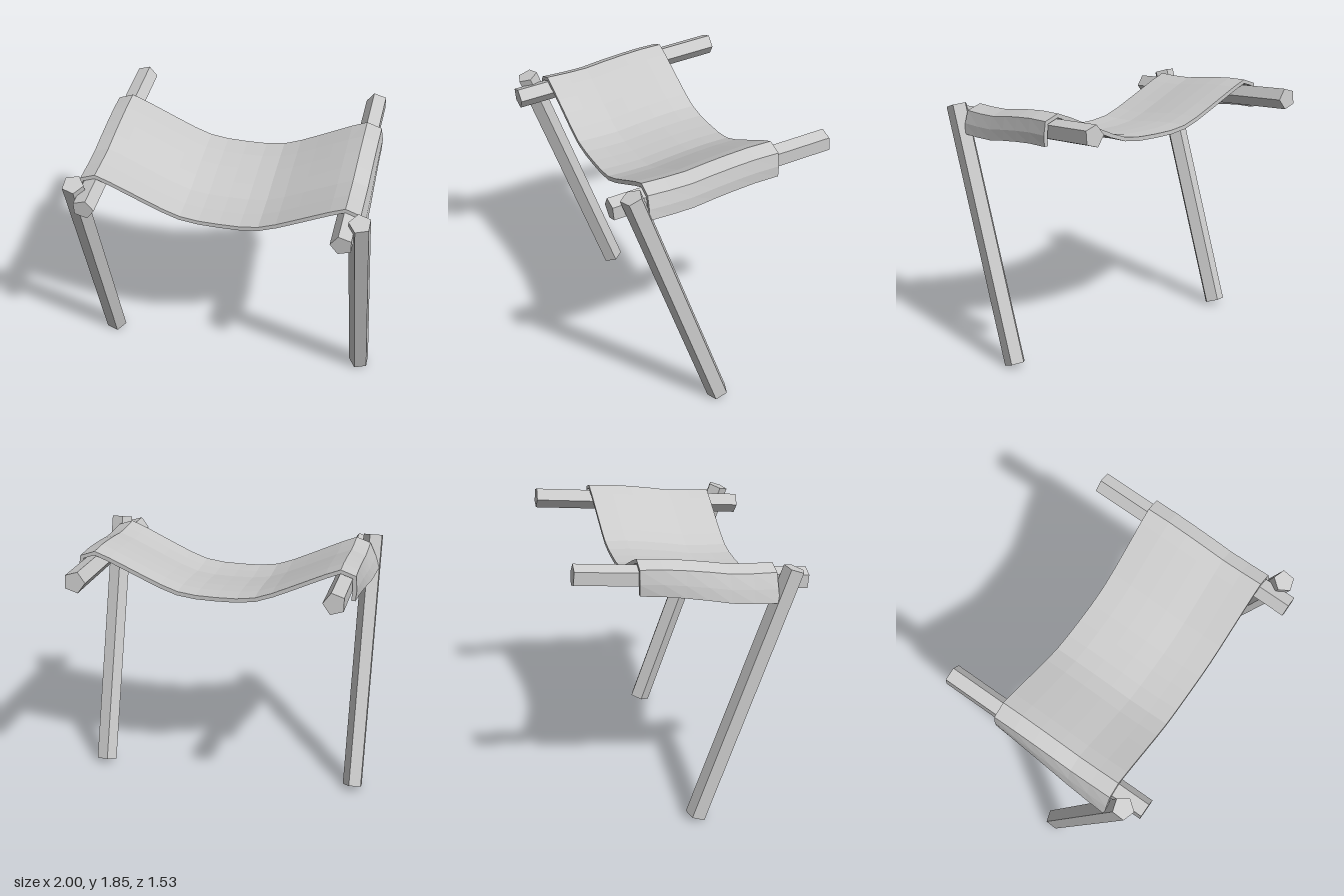
import * as THREE from 'three';

const R = 0.0746;          // pentagonal pole radius
const THICK = 0.028;       // cloth thickness

// Half cross-section of the cloth underside at its front edge: sag, then over the rail
const HALF = [[0, 1.463], [0.14, 1.466], [0.27, 1.484], [0.39, 1.528], [0.52, 1.588],
  [0.64, 1.645], [0.74, 1.692], [0.83, 1.73], [0.908, 1.703]];
// Cloth rows: z position and rise towards the back
const ROWS = [[-0.35, 0.09], [-0.2, 0.08], [-0.055, 0.062], [0.09, 0.04], [0.235, 0.014],
  [0.385, 0.004], [0.53, 0]];

// Five-sided pole between two points in the plane x = const, one corner pointing inward
function pole(name, side, x, [y0, z0], [y1, z1], mat) {
  const dy = y1 - y0, dz = z1 - z0;
  const geo = new THREE.CylinderGeometry(R, R, Math.hypot(dy, dz), 5);
  geo.rotateY(-side * Math.PI / 2);
  geo.rotateX(Math.atan2(dz, dy));
  geo.translate(side * x, (y0 + y1) / 2, (z0 + z1) / 2);
  const mesh = new THREE.Mesh(geo, mat);
  mesh.name = name;
  return mesh;
}

// Underside points of the cloth from right to left for row r
function clothSection(r) {
  const t = r / (ROWS.length - 1), rise = ROWS[r][1];
  const half = (side) => {
    // the hanging flaps flare out towards the front
    const x = side > 0 ? 0.912 + 0.02 * t : 0.904 + 0.068 * t;
    const y = side > 0 ? 1.56 : 1.53 + 0.02 * (1 - t);
    const pts = [...HALF, [(x + 0.91) / 2 + 0.004, (y + 1.703) / 2], [x, y]];
    return pts.map(([px, py]) => new THREE.Vector2(side * px, py + rise));
  };
  return [...half(-1).reverse(), ...half(1).slice(1)];
}

// Thin slab bent along the cross-sections
function clothGeometry() {
  const sections = ROWS.map((_, r) => clothSection(r));
  const cols = sections[0].length - 1, rows = ROWS.length - 1;
  const geo = new THREE.BoxGeometry(1, 1, 1, cols, 1, rows);
  const pos = geo.attributes.position;
  for (let i = 0; i < pos.count; i++) {
    const c = Math.round((pos.getX(i) + 0.5) * cols);
    const r = Math.round((pos.getZ(i) + 0.5) * rows);
    const s = sections[r], p = s[c];
    const tan = s[Math.min(c + 1, cols)].clone().sub(s[Math.max(c - 1, 0)]).normalize();
    const off = pos.getY(i) > 0 ? THICK : 0;
    let z = ROWS[r][0];
    if (r === rows) z += 0.014 * p.x * p.x - 0.004;
    if (r === 0 && p.x > 0) z -= 0.02 * p.x * p.x;
    pos.setXYZ(i, p.x - tan.y * off, p.y + tan.x * off, z);
  }
  geo.computeVertexNormals();
  return geo;
}

export function createModel() {
  const group = new THREE.Group();
  group.name = 'slingFrame';
  const mat = new THREE.MeshStandardMaterial({ color: 0xcccccc, flatShading: true });

  // Slanted legs and the rails that rest against them
  for (const side of [1, -1]) {
    const label = side > 0 ? 'left' : 'right';
    group.add(pole(label + 'Leg', side, 0.94, [0.025, 0.025], [1.745, 0.65], mat));
    group.add(pole(label + 'Rail', side, 0.845, [1.635, 0.757], [1.777, -0.757], mat));
  }

  // Sagging cloth draped over both rails
  const cloth = new THREE.Mesh(clothGeometry(), mat);
  cloth.name = 'clothSling';
  group.add(cloth);
  return group;
}
